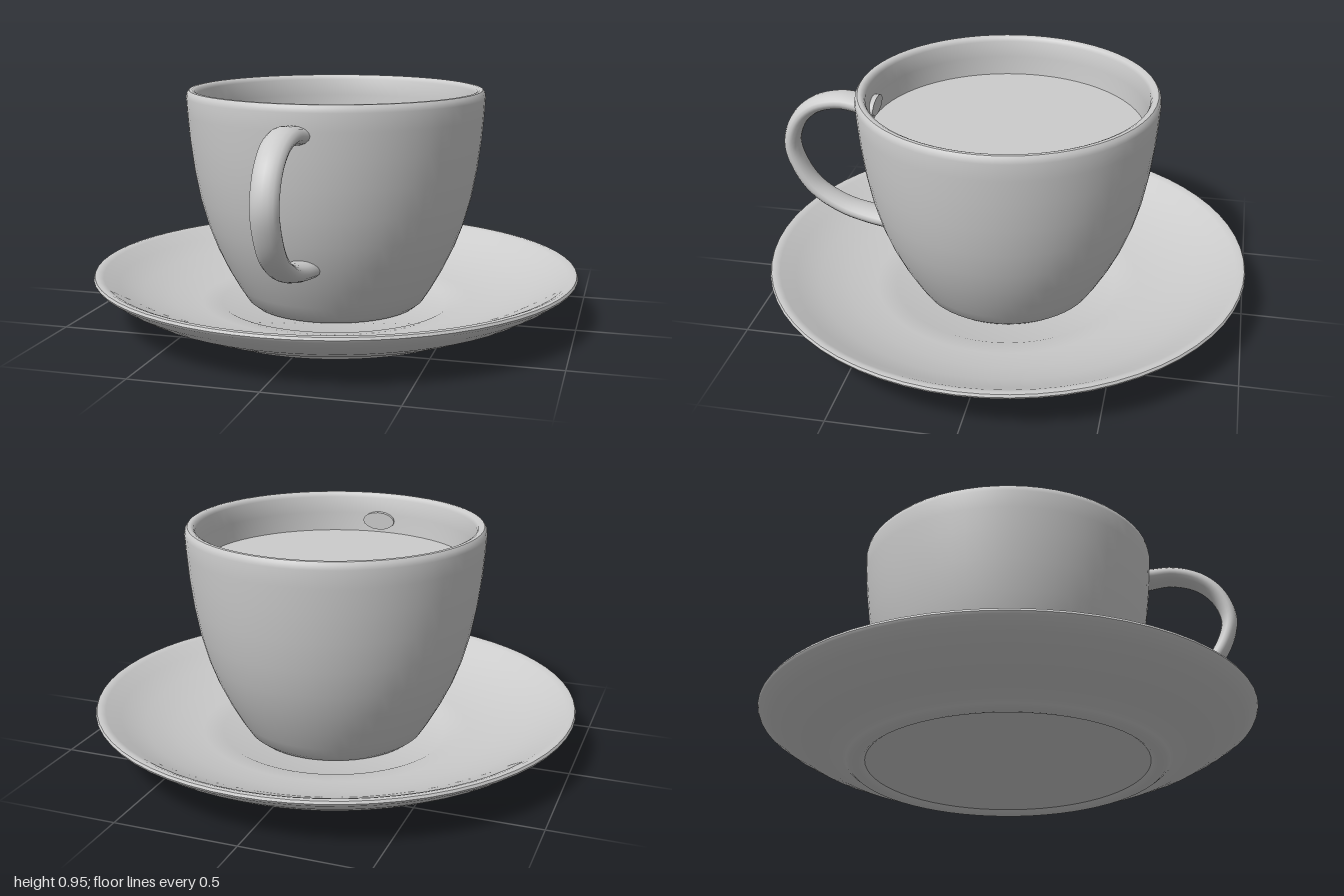
import * as THREE from 'three';
import { mergeVertices, toCreasedNormals } from 'three/addons/utils/BufferGeometryUtils.js';

const SEGMENTS = 64;

// Spin a profile of [radius, height] pairs around the y axis
function spin(profile, crease) {
  const points = profile.map(([r, y]) => new THREE.Vector2(r, y));
  return toCreasedNormals(new THREE.LatheGeometry(points, SEGMENTS), crease);
}

// Flattened tube that widens towards both ends, with closed ends
function handleGeometry() {
  const path = new THREE.CatmullRomCurve3([
    [0.83, 0.52], [0.835, 0.6], [0.845, 0.7], [0.815, 0.81], [0.745, 0.887], [0.635, 0.925],
    [0.53, 0.9], [0.43, 0.835], [0.355, 0.72], [0.32, 0.6], [0.303, 0.46],
  ].map(([y, z]) => new THREE.Vector3(0, y, z)));
  const rings = 48, sides = 16;
  const tube = new THREE.TubeGeometry(path, rings, 0.033, sides, false);
  const pos = tube.attributes.position;
  for (let i = 0; i <= rings; i++) {
    const flare = Math.pow(Math.abs(i / rings - 0.5) * 2, 3);
    const wide = 1.65 + 0.6 * flare, thick = 1 + 0.2 * flare;
    const c = path.getPointAt(i / rings);
    for (let j = 0; j <= sides; j++) {
      const k = i * (sides + 1) + j;
      pos.setXYZ(k, pos.getX(k) * wide,
        c.y + (pos.getY(k) - c.y) * thick, c.z + (pos.getZ(k) - c.z) * thick);
    }
  }
  // Collapse the first and last rings to close the ends
  for (const [ring, next] of [[0, 1], [rings, rings - 1]]) {
    const c = path.getPointAt(next / rings);
    for (let j = 0; j <= sides; j++) pos.setXYZ(ring * (sides + 1) + j, c.x, c.y, c.z);
  }
  tube.deleteAttribute('normal');
  tube.deleteAttribute('uv');
  return toCreasedNormals(mergeVertices(tube), 0.9);
}

export function createModel() {
  const model = new THREE.Group();
  model.name = 'cupAndSaucer';
  const ceramic = new THREE.MeshStandardMaterial({ color: 0xcccccc });
  ceramic.name = 'light grey';

  const add = (name, geometry) => {
    const mesh = new THREE.Mesh(geometry, ceramic);
    mesh.name = name;
    model.add(mesh);
    return mesh;
  };

  // Saucer: recessed foot, flared underside, thin rim, sloping top and flat well
  add('saucer', spin([
    [0, 0.015], [0.57, 0.015], [0.585, 0.003], [0.6, 0], [0.63, 0.003], [0.645, 0.014], [0.66, 0.027],
    [0.76, 0.056], [0.86, 0.099], [0.94, 0.146], [0.995, 0.186], [1, 0.196],
    [0.995, 0.206], [0.98, 0.208], [0.96, 0.2], [0.9, 0.164], [0.8, 0.122],
    [0.68, 0.088], [0.56, 0.068], [0.48, 0.06], [0.46, 0.05], [0, 0.05],
  ], 0.6));

  // Cup: rounded outer wall, soft lip and inner wall
  add('cup', spin([
    [0, 0.055], [0.345, 0.055], [0.37, 0.075], [0.405, 0.13], [0.45, 0.21], [0.495, 0.305],
    [0.53, 0.4], [0.56, 0.51], [0.582, 0.63], [0.597, 0.75], [0.605, 0.85], [0.609, 0.92],
    [0.606, 0.938], [0.597, 0.949], [0.585, 0.95], [0.573, 0.944], [0.566, 0.93],
    [0.563, 0.86], [0.555, 0.75], [0.54, 0.63], [0.518, 0.51], [0.488, 0.4], [0.44, 0.28],
    [0.36, 0.14], [0.3, 0.1], [0, 0.1],
  ], 0.8));

  // Drink surface
  const drink = add('drink', new THREE.CircleGeometry(0.558, SEGMENTS));
  drink.rotation.x = -Math.PI / 2;
  drink.position.y = 0.78;

  // Handle at the front, passing through the wall
  add('handle', handleGeometry());

  return model;
}
